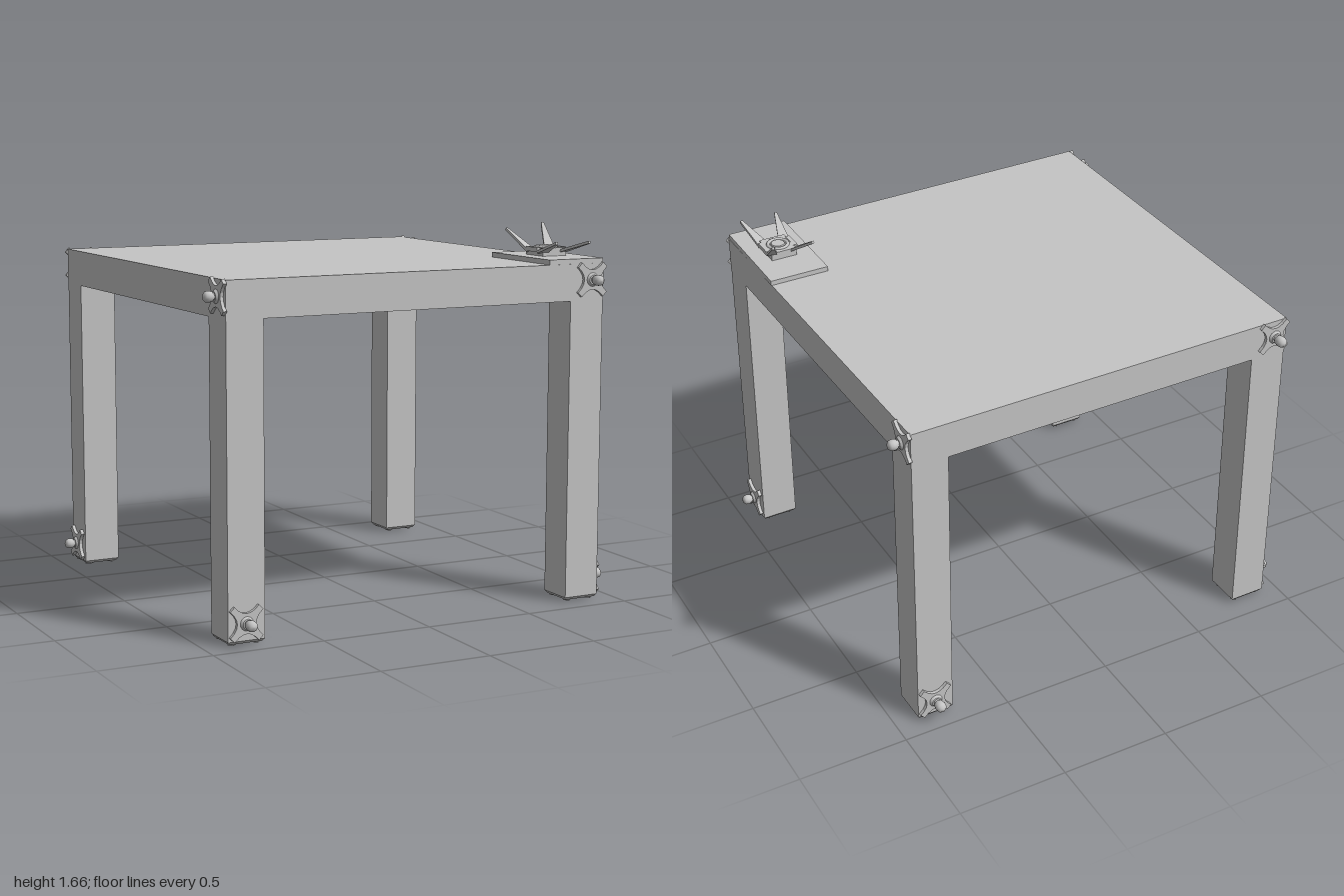
import * as THREE from 'three';

const grey = new THREE.MeshStandardMaterial({ color: 0xc5c5c5 });
grey.name = 'lightGrey';

function add(parent, name, geometry, x = 0, y = 0, z = 0) {
  const mesh = new THREE.Mesh(geometry, grey);
  mesh.name = name;
  mesh.position.set(x, y, z);
  parent.add(mesh);
  return mesh;
}

// Four-armed X plate with blunt tips and concave sides, lying in the xy plane
function crossPlate(reach, depth) {
  const shape = new THREE.Shape();
  const at = (r, t) => [Math.cos(t) * r, Math.sin(t) * r];
  for (let i = 0; i < 4; i++) {
    const a = Math.PI / 4 + i * Math.PI / 2;
    const next = a + Math.PI / 2;
    if (i === 0) shape.moveTo(...at(reach, a - 0.15));
    shape.lineTo(...at(reach, a + 0.15));
    shape.quadraticCurveTo(...at(reach * 0.12, a + Math.PI / 4), ...at(reach, next - 0.15));
  }
  return new THREE.ExtrudeGeometry(shape, { depth, bevelEnabled: false, curveSegments: 6 });
}

// Corner fitting: cross plate, collar and a rounded knob along +z
function makeStud(length) {
  const stud = new THREE.Group();
  stud.name = 'cornerStud';
  add(stud, 'studCross', crossPlate(0.093, 0.016), 0, 0, -0.002);
  const collar = new THREE.CylinderGeometry(0.022, 0.032, 0.012, 16).rotateX(Math.PI / 2);
  add(stud, 'studCollar', collar, 0, 0, 0.018);
  const profile = [[0.015, 0], [0.015, 0.38], [0.021, 0.45], [0.024, 0.66], [0.022, 0.85], [0.013, 0.97], [0, 1]]
    .map(([r, h]) => new THREE.Vector2(r, h * length));
  add(stud, 'studKnob', new THREE.LatheGeometry(profile, 16).rotateX(Math.PI / 2));
  return stud;
}

// Tapering flat prong between two points
function prong(from, to, wide, narrow) {
  const a = new THREE.Vector3(...from), b = new THREE.Vector3(...to);
  const dir = b.clone().sub(a);
  const length = dir.length();
  dir.normalize();
  const side = new THREE.Vector3(0, 1, 0).cross(dir).normalize();
  const up = dir.clone().cross(side);
  const geometry = new THREE.BoxGeometry(1, 1, length);
  const p = geometry.attributes.position;
  for (let i = 0; i < p.count; i++) {
    const t = p.getZ(i) / length + 0.5;
    const w = wide + (narrow - wide) * t;
    p.setXYZ(i, p.getX(i) * w, p.getY(i) * 0.012, p.getZ(i));
  }
  geometry.applyMatrix4(new THREE.Matrix4().makeBasis(side, up, dir).setPosition(a.add(b).multiplyScalar(0.5)));
  geometry.computeVertexNormals();
  return geometry;
}

// Small pronged holder standing on a base plate
function makeHolder() {
  const holder = new THREE.Group();
  holder.name = 'prongHolder';
  add(holder, 'basePlate', new THREE.BoxGeometry(0.275, 0.022, 0.485), 0.78, 1.521, 0.657);
  add(holder, 'holderBody', new THREE.BoxGeometry(0.12, 0.036, 0.14), 0.78, 1.55, 0.65);
  add(holder, 'holderRing', new THREE.TorusGeometry(0.045, 0.008, 8, 24).rotateX(Math.PI / 2), 0.78, 1.568, 0.65);
  add(holder, 'holderCap', new THREE.CylinderGeometry(0.03, 0.034, 0.008, 20), 0.78, 1.57, 0.65);
  for (const s of [-1, 1]) {
    const tallTip = s < 0 ? 1.64 : 1.66;
    add(holder, 'tallProng', prong([0.78 + s * 0.05, 1.55, 0.605], [0.78 + s * 0.095, tallTip, 0.468], 0.05, 0.012));
    add(holder, 'lowProng', prong([0.78 + s * 0.05, 1.55, 0.70], [0.78 + s * 0.085, 1.6, 0.868], 0.05, 0.012));
    add(holder, 'sideTab', new THREE.BoxGeometry(0.02, 0.02, 0.09), 0.78 + s * 0.066, 1.56, 0.65);
  }
  return holder;
}

export function createModel() {
  const model = new THREE.Group();
  model.name = 'sideTable';

  const table = new THREE.Group();
  table.name = 'table';
  table.rotation.y = 0.011;
  model.add(table);

  add(table, 'tabletop', new THREE.BoxGeometry(1.82, 0.162, 1.82), 0, 1.429, 0);

  // Legs with a tapered foot and a cross underneath
  for (const sx of [-1, 1]) for (const sz of [-1, 1]) {
    const x = sx * 0.825, z = sz * 0.825;
    add(table, 'leg', new THREE.BoxGeometry(0.168, 1.335, 0.168), x, 0.6875, z);
    const foot = new THREE.CylinderGeometry(0.118, 0.106, 0.012, 4).rotateY(Math.PI / 4);
    add(table, 'foot', foot, x, 0.014, z);
    add(table, 'footCross', crossPlate(0.093, 0.012).rotateX(Math.PI / 2), x, 0.014, z);
    add(table, 'footPad', new THREE.CylinderGeometry(0.04, 0.035, 0.012, 16), x, 0.006, z);
  }

  // One high and one low stud on every side
  for (let i = 0; i < 4; i++) {
    const side = new THREE.Group();
    side.name = 'sideFittings';
    side.rotation.y = i * Math.PI / 2;
    const length = i % 2 ? 0.07 : 0.083;
    const high = makeStud(length), low = makeStud(length);
    high.position.set(0.845, 1.44, 0.91);
    low.position.set(-0.83, 0.095, 0.91);
    side.add(high, low);
    table.add(side);
  }

  model.add(makeHolder());
  return model;
}
